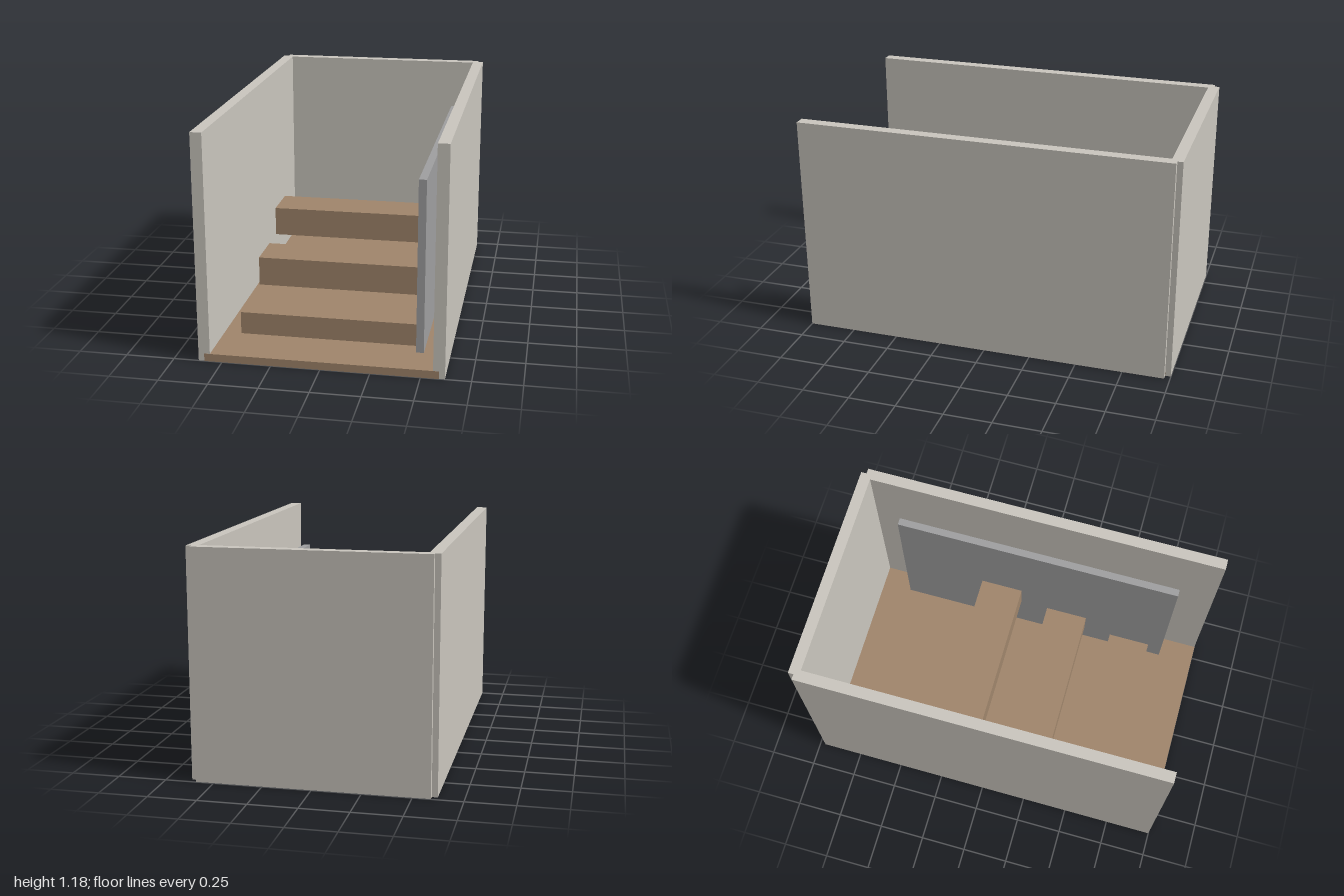
import * as THREE from 'three';

export function createModel() {
  const group = new THREE.Group();
  const material = (name, color) => {
    const m = new THREE.MeshStandardMaterial({ color });
    m.name = name;
    return m;
  };
  const plaster = material('plaster', 0xcac6be);
  const wood = material('wood', 0xa0856b);
  const metal = material('grey metal', 0x9f9fa0);

  // Box given by its size, centre x, bottom y and centre z
  const box = (name, mat, [w, h, d], [x, y, z]) => {
    const mesh = new THREE.Mesh(new THREE.BoxGeometry(w, h, d), mat);
    mesh.name = name;
    mesh.position.set(x, y + h / 2, z);
    group.add(mesh);
  };

  const mid = 0.0148; // centre of the room, shifted forward by the back wall
  const width = 1.182, length = 1.97, thick = 0.059;

  // Floor, a hair proud of the wall ends and undersides
  box('floor', wood, [width, 0.0404, length + 0.002], [0, -0.001, mid]);

  // Walls
  box('leftWall', plaster, [thick, width, length], [width / 2, 0, mid]);
  box('rightWall', plaster, [thick, width, length], [-width / 2, 0, mid]);
  box('backWall', plaster, [width, width, thick], [0, 0, mid - length / 2]);

  // Floating steps rising towards the back
  const rise = 0.1577, spacing = 0.394;
  for (let i = 0; i < 3; i++) {
    box('step' + (i + 1), wood, [0.946, rise, 0.2365], [0, i * rise, mid + spacing * (1.5 - i)]);
  }

  // Solid panel railing beside the steps
  box('railing', metal, [0.0394, 0.946, 1.576], [0.473, 0, mid]);

  return group;
}
